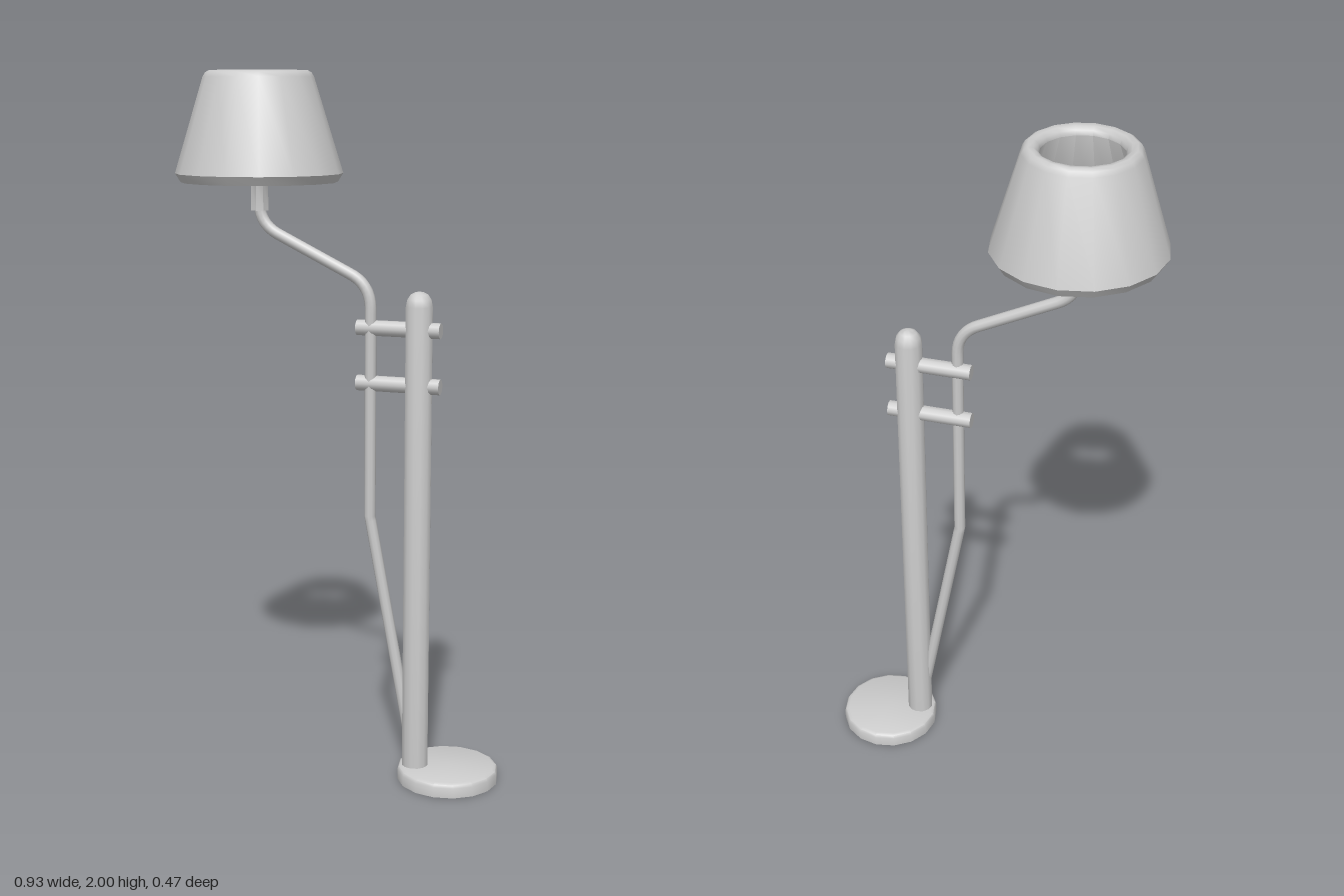
import * as THREE from 'three';
import { toCreasedNormals } from 'three/addons/utils/BufferGeometryUtils.js';

const material = new THREE.MeshStandardMaterial({ color: 0xcccccc, side: THREE.DoubleSide });

export function createModel() {
  const lamp = new THREE.Group();
  lamp.name = 'floorLamp';

  const add = (name, geometry, x = 0, y = 0, z = 0) => {
    const mesh = new THREE.Mesh(geometry, material);
    mesh.name = name;
    mesh.position.set(x, y, z);
    lamp.add(mesh);
    return mesh;
  };
  // Turned part from [radius, height] pairs, with bevels kept crisp
  const turned = (profile, sides) => toCreasedNormals(
    new THREE.LatheGeometry(profile.map(([r, y]) => new THREE.Vector2(r, y)), sides), 0.7);

  // Base: shallow round dish, open underneath
  add('base', turned([
    [0.145, 0], [0.145, 0.029], [0.141, 0.037], [0.132, 0.041], [0, 0.041],
  ], 16), 0.32, 0, -0.033);

  // Post with a domed top
  add('post', turned([
    [0, 0.015], [0.038, 0.015], [0.038, 1.37], [0.034, 1.389], [0.024, 1.403], [0.012, 1.409], [0, 1.411],
  ], 12), 0.23, 0, -0.004);

  // Two cross pins holding the bent tube to the post
  for (const y of [1.15, 1.305]) {
    const pin = add('crossPin', new THREE.CylinderGeometry(0.022, 0.022, 0.24, 10), 0.172, y, -0.004);
    pin.rotation.z = Math.PI / 2;
  }

  // Bent tube rising from the post to the shade
  const p = (x, y) => new THREE.Vector3(x, y, 0);
  const path = new THREE.CurvePath();
  path.add(new THREE.LineCurve3(p(0.226, 0.06), p(0.092, 0.77)));
  path.add(new THREE.LineCurve3(p(0.092, 0.77), p(0.092, 1.355)));
  path.add(new THREE.QuadraticBezierCurve3(p(0.092, 1.355), p(0.092, 1.425), p(0.03, 1.453)));
  path.add(new THREE.LineCurve3(p(0.03, 1.453), p(-0.18, 1.555)));
  path.add(new THREE.QuadraticBezierCurve3(p(-0.18, 1.555), p(-0.235, 1.582), p(-0.235, 1.64)));
  add('bentTube', new THREE.TubeGeometry(path, 120, 0.016, 10, false));

  // Bulb socket: narrow neck flaring into a wider bevelled holder
  add('socket', turned([
    [0, 1.62], [0.026, 1.62], [0.026, 1.705], [0.045, 1.74], [0.045, 1.82], [0.028, 1.84], [0, 1.84],
  ], 8), -0.235);

  // Shade: thick conical wall with rounded rims
  add('shade', turned([
    [0.2, 1.71], [0.208, 1.7], [0.218, 1.698], [0.233, 1.722], [0.153, 1.982], [0.146, 1.994],
    [0.136, 2], [0.122, 1.998], [0.112, 1.99], [0.108, 1.978], [0.2, 1.71],
  ], 16), -0.235);

  return lamp;
}
